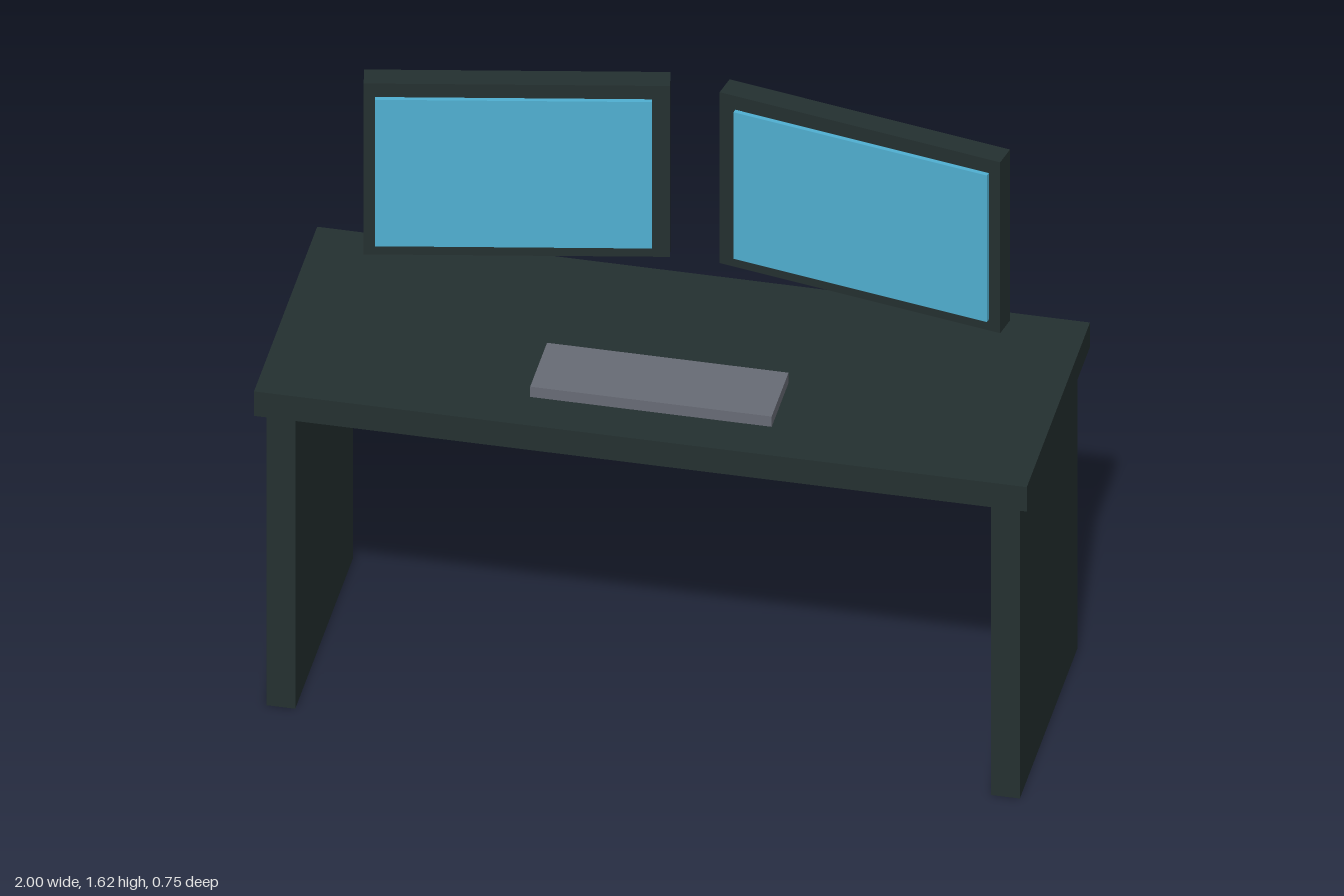
import * as THREE from 'three';

export function createModel() {
  const charcoal = new THREE.MeshStandardMaterial({ color: 0x243030 });
  charcoal.name = 'charcoal';
  const screenBlue = new THREE.MeshStandardMaterial({ color: 0x50b0d2 });
  screenBlue.name = 'screenBlue';
  const keyGrey = new THREE.MeshStandardMaterial({ color: 0x686c76 });
  keyGrey.name = 'keyGrey';

  const model = new THREE.Group();
  model.name = 'desk';

  const box = (name, material, [w, h, d], [x, y, z], turn = 0) => {
    const mesh = new THREE.Mesh(new THREE.BoxGeometry(w, h, d), material);
    mesh.name = name;
    mesh.position.set(x, y, z);
    mesh.rotation.y = turn;
    model.add(mesh);
  };

  // Table top and keyboard
  box('tableTop', charcoal, [2, 0.075, 0.75], [0, 0.944, 0]);
  box('keyboard', keyGrey, [0.625, 0.032, 0.2], [0, 0.997, 0.15]);

  // Side panels and the two monitors, turned in towards the sitter
  for (const [side, s] of [['left', 1], ['right', -1]]) {
    box(side + 'SidePanel', charcoal, [0.075, 0.907, 0.6875], [s * 0.9375, 0.4535, 0]);
    box(side + 'Monitor', charcoal, [0.775, 0.525, 0.0625], [s * 0.45, 1.359, -0.225], -s * 0.2);
    box(side + 'Screen', screenBlue, [0.7, 0.45, 0.0125], [s * 0.45, 1.359, -0.1812], -s * 0.2);
  }

  return model;
}
